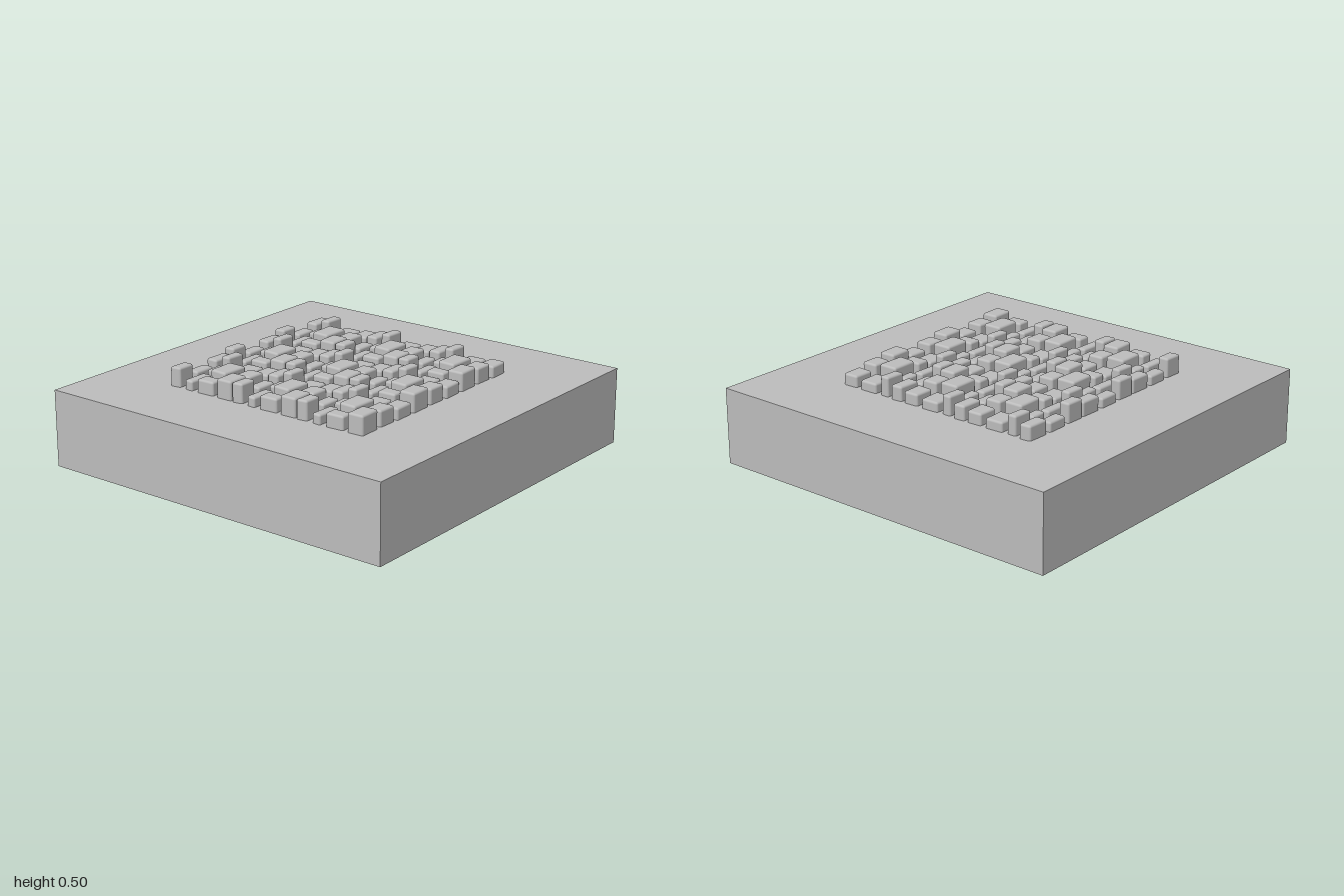
import * as THREE from 'three';
import { RoundedBoxGeometry } from 'three/addons/geometries/RoundedBoxGeometry.js';

// One repeating 0.4 x 0.4 paving tile: rows back to front, stones as [x0, x1, top]
const ROWS = [
  { z: [0.0, 0.07], stones: [[0, 0.11, 0.5], [0.125, 0.25, 0.45], [0.265, 0.395, 0.475]] },
  { z: [0.09, 0.15], stones: [[0, 0.145, 0.45], [0.16, 0.26, 0.46], [0.275, 0.39, 0.5]] },
  { z: [0.17, 0.28], stones: [[0, 0.08, 0.47], [0.097, 0.25, 0.493], [0.265, 0.395, 0.45]] },
  { z: [0.3, 0.393], stones: [[0, 0.13, 0.498], [0.145, 0.257, 0.482], [0.272, 0.392, 0.46]] },
];
const TILE = 0.4, BASE_TOP = 0.4, SINK = 0.03;

function seeded(seed) {
  return () => (seed = (seed * 16807) % 2147483647) / 2147483647;
}

// Rounded block whose four corners are pulled in a little, so its sides run askew
function stoneGeometry(w, h, d, rand) {
  const geo = new RoundedBoxGeometry(w, h + SINK, d, 2, 0.012);
  const pull = [0, 1, 2, 3].map(() => [rand() * 0.008, rand() * 0.008]);
  const p = geo.attributes.position;
  for (let i = 0; i < p.count; i++) {
    const x = p.getX(i), z = p.getZ(i);
    const u = x / w + 0.5, v = z / d + 0.5;
    const weights = [(1 - u) * (1 - v), u * (1 - v), (1 - u) * v, u * v];
    let dx = 0, dz = 0;
    weights.forEach((k, c) => {
      dx += k * pull[c][0] * (c % 2 ? -1 : 1);
      dz += k * pull[c][1] * (c > 1 ? -1 : 1);
    });
    p.setX(i, x + dx);
    p.setZ(i, z + dz);
  }
  return geo;
}

export function createModel() {
  const model = new THREE.Group();
  model.name = 'cobblestonePaving';
  const stoneGrey = new THREE.MeshStandardMaterial({ color: 0xbcbcbc });
  stoneGrey.name = 'stoneGrey';

  // Square ground slab
  const slab = new THREE.Mesh(new THREE.BoxGeometry(2, BASE_TOP, 2), stoneGrey);
  slab.name = 'groundSlab';
  slab.position.y = BASE_TOP / 2;
  model.add(slab);

  // Shared stones of one paving tile
  const rand = seeded(41);
  const stones = ROWS.flatMap(({ z: [z0, z1], stones: row }) => row.map(([x0, x1, top]) => ({
    geo: stoneGeometry(x1 - x0, top - BASE_TOP, z1 - z0, rand),
    x: (x0 + x1) / 2,
    y: (BASE_TOP - SINK + top) / 2,
    z: (z0 + z1) / 2,
  })));

  // Three by three tiles of cobbles
  for (let i = 0; i < 3; i++) {
    for (let j = 0; j < 3; j++) {
      const tile = new THREE.Group();
      tile.name = 'cobbleTile';
      tile.position.set(-0.6 + i * TILE, 0, -0.6 + j * TILE);
      for (const s of stones) {
        const mesh = new THREE.Mesh(s.geo, stoneGrey);
        mesh.name = 'cobble';
        mesh.position.set(s.x, s.y, s.z);
        tile.add(mesh);
      }
      model.add(tile);
    }
  }
  return model;
}
